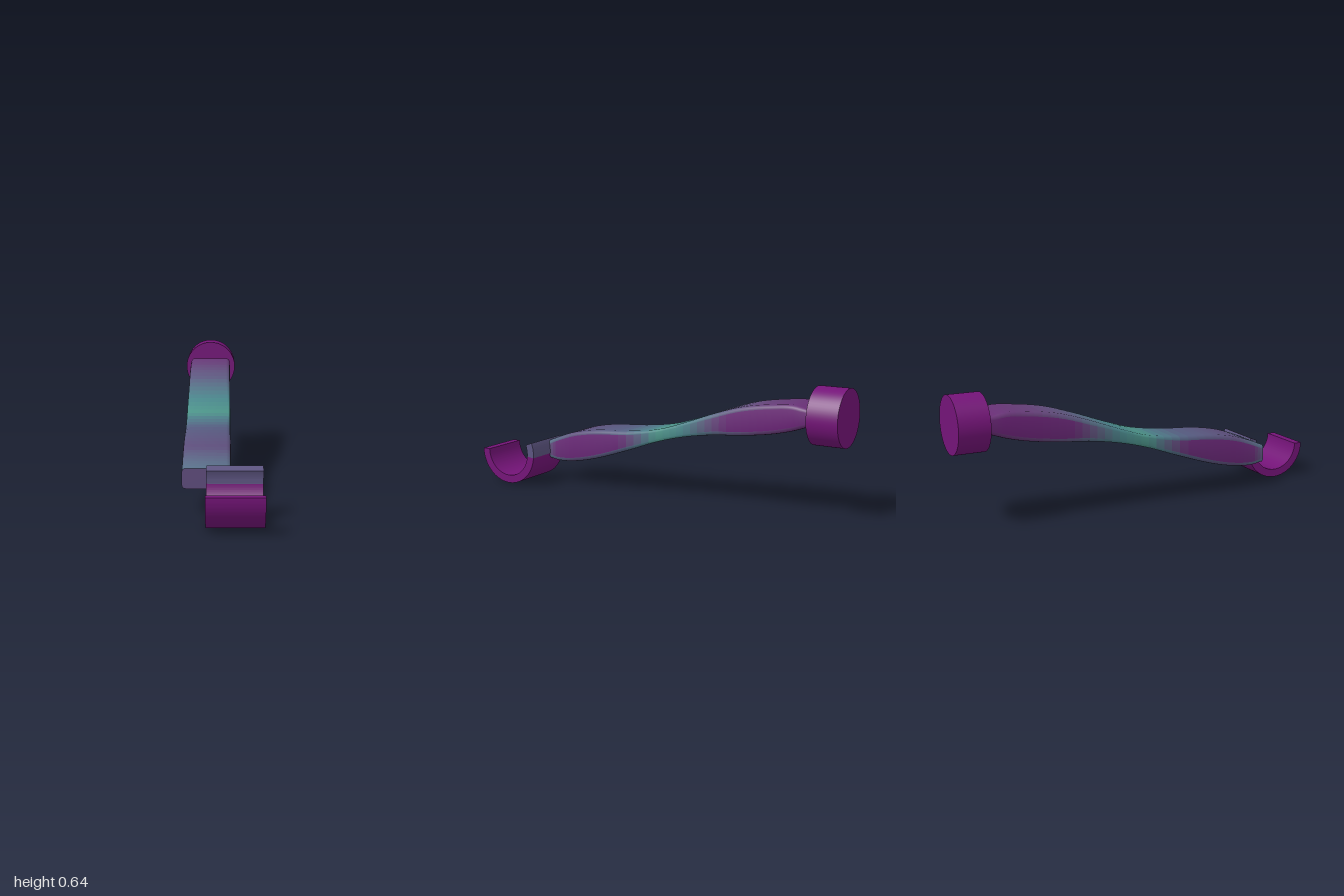
import * as THREE from 'three';
import { toCreasedNormals } from 'three/addons/utils/BufferGeometryUtils.js';

const PURPLE = 0x741478;
const paint = (color) => new THREE.MeshStandardMaterial({ color });

// Arm side profile from front to back: [bottom y, top y, z]
const PROFILE = [
  [0.13, 0.224, 0.67], [0.12, 0.253, 0.6], [0.128, 0.287, 0.5], [0.16, 0.314, 0.36],
  [0.227, 0.331, 0.16], [0.294, 0.358, -0.02], [0.337, 0.41, -0.18], [0.363, 0.47, -0.34],
  [0.378, 0.52, -0.5], [0.403, 0.546, -0.66], [0.428, 0.554, -0.76], [0.458, 0.54, -0.845],
];

// Colour bands along the arm: [z, color]
const BANDS = [
  [0.67, 0x567088], [0.5, 0x5c4c7a], [0.2, 0x545c80], [0.05, 0x4c7c88], [-0.03, 0x4c9488],
  [-0.18, 0x48848a], [-0.4, 0x5c5a80], [-0.6, 0x644078], [-0.845, 0x682a74],
];

function bandColor(z) {
  let i = 0;
  while (i < BANDS.length - 2 && z < BANDS[i + 1][0]) i++;
  const [z0, c0] = BANDS[i], [z1, c1] = BANDS[i + 1];
  const t = THREE.MathUtils.clamp((z - z0) / (z1 - z0), 0, 1);
  return new THREE.Color(c0).lerp(new THREE.Color(c1), t);
}

// Rounded rectangle, counter-clockwise as seen from the front
const CORNER_STEPS = 3;
function section(x0, x1, y0, y1) {
  const r = Math.min(0.021, (y1 - y0) * 0.2), pts = [];
  const corners = [[x0 + r, y0 + r], [x1 - r, y0 + r], [x1 - r, y1 - r], [x0 + r, y1 - r]];
  corners.forEach(([cx, cy], k) => {
    for (let s = 0; s <= CORNER_STEPS; s++) {
      const a = Math.PI + (k + s / CORNER_STEPS) * Math.PI / 2;
      pts.push([cx + r * Math.cos(a), cy + r * Math.sin(a)]);
    }
  });
  return pts;
}

// Loft of the waisted arm; each span has one colour for top and bottom, one for the sides
function makeArm() {
  const spans = 44, position = [], index = [], materials = [];
  const curve = new THREE.CatmullRomCurve3(PROFILE.map((p) => new THREE.Vector3(...p)));
  const stations = curve.getPoints(spans);
  const geometry = new THREE.BufferGeometry();
  const n = 4 * (CORNER_STEPS + 1);
  for (const p of stations) {
    for (const [x, y] of section(-0.168, 0.054, p.x, p.y)) position.push(x, y, p.z);
  }
  const isSide = (j) => j === n / 2 - 1 || j === n - 1;
  const addGroup = (start, color) => {
    geometry.addGroup(start, index.length - start, materials.length);
    materials.push(paint(color));
  };
  for (let i = 0; i < spans; i++) {
    const p = stations[i], color = bandColor((p.z + stations[i + 1].z) / 2);
    const purpleness = THREE.MathUtils.clamp((p.y - p.x - 0.07) / 0.06, 0, 0.9);
    const sideColor = color.clone().lerp(new THREE.Color(0x6c2078), purpleness);
    for (const side of [false, true]) {
      const start = index.length;
      for (let j = 0; j < n; j++) {
        if (isSide(j) !== side) continue;
        const a = i * n + j, b = i * n + (j + 1) % n;
        index.push(a, a + n, b, b, a + n, b + n);
      }
      addGroup(start, side ? sideColor : color);
    }
  }
  // front end face; the rear end is closed by the disc
  const start = index.length;
  for (let j = 1; j < n - 1; j++) index.push(0, j, j + 1);
  addGroup(start, 0x5e4c7c);
  geometry.setAttribute('position', new THREE.Float32BufferAttribute(position, 3));
  geometry.setIndex(index);
  return new THREE.Mesh(toCreasedNormals(geometry, 0.7), materials);
}

// Piece of the half-ring cradle between two angles
function makeRingPiece(from, to, color) {
  const shape = new THREE.Shape();
  shape.absarc(0, 0, 0.173, from, to, false);
  shape.absarc(0, 0, 0.131, to, from, true);
  const geometry = new THREE.ExtrudeGeometry(shape, {
    depth: 0.256, bevelEnabled: false, curveSegments: 40,
  });
  const piece = new THREE.Mesh(toCreasedNormals(geometry, 0.5), paint(color));
  piece.rotation.y = Math.PI / 2;
  piece.position.set(-0.057, 0.173, 0.827);
  return piece;
}

// Round end block with its axis along z
function makeEndDisc() {
  const disc = new THREE.Mesh(new THREE.CylinderGeometry(0.141, 0.141, 0.155, 64), paint(PURPLE));
  disc.rotation.x = Math.PI / 2;
  disc.position.set(-0.057, 0.498, -0.9225);
  return disc;
}

export function createModel() {
  const group = new THREE.Group();
  group.name = 'leverArm';
  const lipStart = 2 * Math.PI - 0.1;
  const parts = {
    arm: makeArm(),
    hook: makeRingPiece(Math.PI, lipStart, PURPLE),
    hookLip: makeRingPiece(lipStart, 2 * Math.PI + 0.375, 0x5c5480),
    endDisc: makeEndDisc(),
  };
  for (const [name, mesh] of Object.entries(parts)) {
    mesh.name = name;
    group.add(mesh);
  }
  return group;
}
